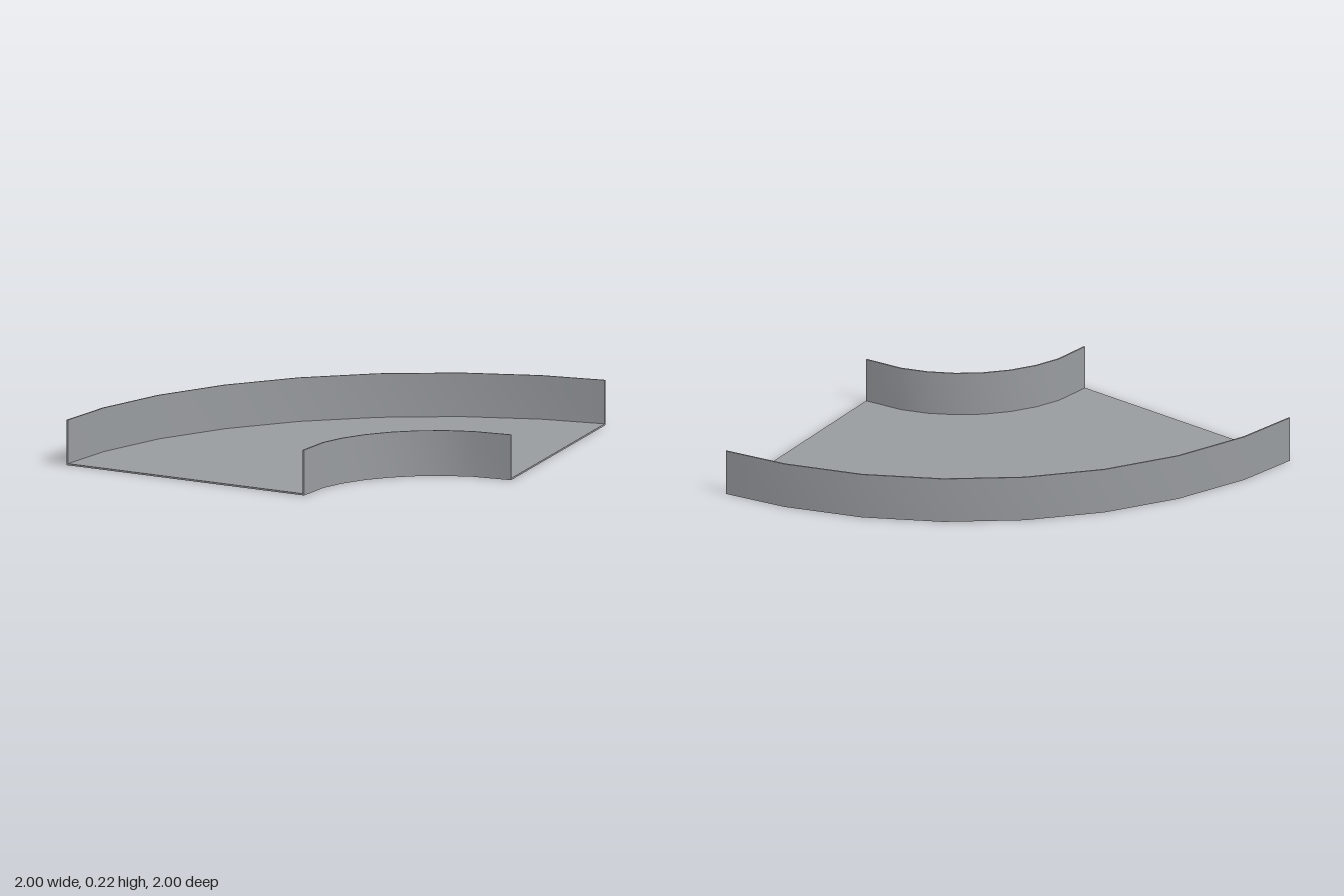
import * as THREE from 'three';

const HEIGHT = 0.215, THICK = 0.008;
const CENTRE = 0.937, R_IN = 0.66, R_OUT = 1.94, STEPS = 8;

// Inner and outer edge points [x, z] of each station round the bend
function stations() {
  const list = [{ inner: [0.281, 1], outer: [-1, 0.871] }];
  for (let k = 1; k < STEPS; k++) {
    const a = (k / STEPS) * Math.PI / 2;
    const at = r => [CENTRE - r * Math.cos(a), CENTRE - r * Math.sin(a)];
    list.push({ inner: at(R_IN), outer: at(R_OUT) });
  }
  list.push({ inner: [1, 0.281], outer: [0.871, -1] });
  return list;
}

// Sweep a rectangle (s across the tray from 0 inner to 1 outer, y up) round the bend
function sweepRect(s0, s1, y0, y1) {
  const path = stations();
  const corners = [[s0, y0], [s1, y0], [s1, y1], [s0, y1]];
  const pos = [], idx = [];
  const add = (st, [s, y]) => {
    pos.push(
      THREE.MathUtils.lerp(st.inner[0], st.outer[0], s), y,
      THREE.MathUtils.lerp(st.inner[1], st.outer[1], s));
  };
  // Four long faces, smooth along the bend and sharp between each other
  corners.forEach((a, i) => {
    const b = corners[(i + 1) % 4];
    const base = pos.length / 3;
    path.forEach(st => { add(st, a); add(st, b); });
    for (let k = 0; k < STEPS; k++) {
      const n = base + 2 * k;
      idx.push(n, n + 1, n + 3, n, n + 3, n + 2);
    }
  });
  // End caps
  [[path[0], [0, 3, 2, 0, 2, 1]], [path[STEPS], [0, 1, 2, 0, 2, 3]]].forEach(([st, order]) => {
    const base = pos.length / 3;
    corners.forEach(c => add(st, c));
    idx.push(...order.map(o => base + o));
  });
  const geo = new THREE.BufferGeometry();
  geo.setAttribute('position', new THREE.Float32BufferAttribute(pos, 3));
  geo.setIndex(idx);
  geo.computeVertexNormals();
  return geo;
}

export function createModel() {
  const group = new THREE.Group();
  group.name = 'curvedTray';
  const steel = new THREE.MeshStandardMaterial({ color: 0x989b9f });
  steel.name = 'grey steel';

  const t = THICK / (R_OUT - R_IN);
  const parts = {
    floor: [t, 1 - t, 0, THICK],
    innerWall: [0, t, 0, HEIGHT],
    outerWall: [1 - t, 1, 0, HEIGHT],
  };
  for (const [name, rect] of Object.entries(parts)) {
    const mesh = new THREE.Mesh(sweepRect(...rect), steel);
    mesh.name = name;
    group.add(mesh);
  }
  return group;
}
